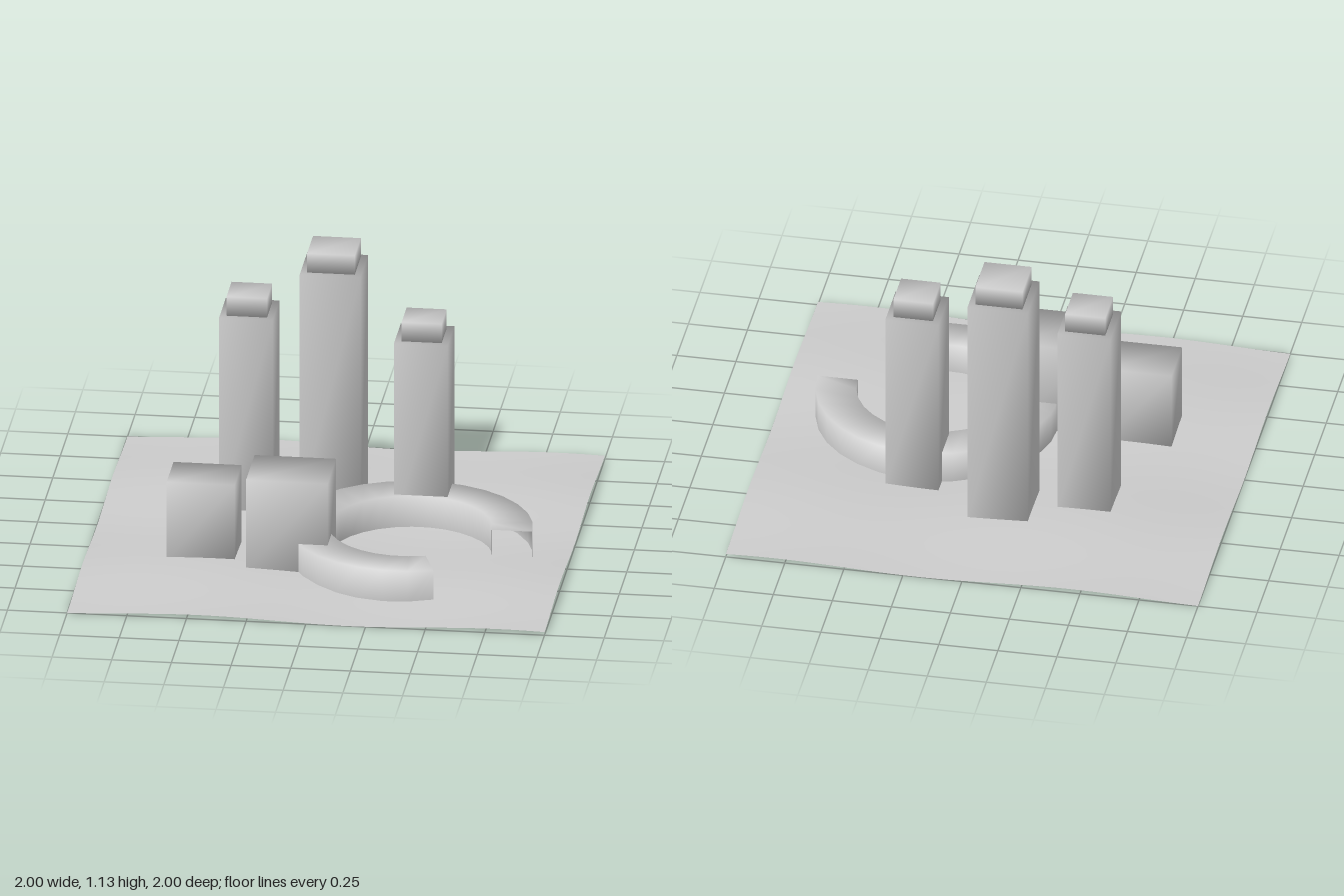
import * as THREE from 'three';
import { mergeVertices } from 'three/addons/utils/BufferGeometryUtils.js';

const BASE = 0.012;

function makeMesh(geometry, name, side = THREE.FrontSide) {
  const mesh = new THREE.Mesh(geometry, new THREE.MeshStandardMaterial({ color: 0xcccccc, side }));
  mesh.name = name;
  return mesh;
}

// Box with shared corners, so its shading runs smoothly over the edges
function softBox(name, x, z, width, depth, bottom, top) {
  let geo = new THREE.BoxGeometry(width, top - bottom, depth);
  geo.deleteAttribute('normal');
  geo.deleteAttribute('uv');
  geo = mergeVertices(geo);
  geo.computeVertexNormals();
  geo.translate(x, (top + bottom) / 2, z);
  return makeMesh(geo, name);
}

// Gently rolling ground sheet
function makeGround() {
  const geo = new THREE.PlaneGeometry(2, 2, 40, 40).rotateX(-Math.PI / 2);
  const p = geo.attributes.position;
  for (let i = 0; i < p.count; i++) {
    const x = p.getX(i), z = p.getZ(i);
    p.setY(i, 0.018 + 0.009 * Math.cos(5 * (x + 0.45)) + 0.009 * Math.cos(6.3 * (z - 0.5)));
  }
  geo.computeVertexNormals();
  return makeMesh(geo, 'ground', THREE.DoubleSide);
}

// Hollow arc: outer wall, roof and inner wall, open at both ends and below
function makeArc() {
  const profile = [[0.51, BASE], [0.51, 0.15], [0.34, 0.15], [0.34, BASE]];
  const steps = 24, start = THREE.MathUtils.degToRad(72);
  const positions = [], index = [];
  for (let i = 0; i <= steps; i++) {
    const a = start + (Math.PI * 2 - start) * i / steps;
    for (const [r, y] of profile) positions.push(0.34 + r * Math.cos(a), y, 0.225 + r * Math.sin(a));
    if (i === steps) break;
    for (let j = 0; j < 3; j++) {
      const k = i * 4 + j;
      index.push(k, k + 1, k + 4, k + 1, k + 5, k + 4);
    }
  }
  const geo = new THREE.BufferGeometry();
  geo.setAttribute('position', new THREE.Float32BufferAttribute(positions, 3));
  geo.setIndex(index);
  geo.computeVertexNormals();
  return makeMesh(geo, 'arcBuilding', THREE.DoubleSide);
}

export function createModel() {
  const model = new THREE.Group();
  model.name = 'cityBlock';
  model.add(makeGround(), makeArc());

  // Towers with a smaller block on the roof: x, z, width, height, roof width
  const towers = [
    ['rightTower', -0.4, -0.29, 0.225, 0.88, 0.17],
    ['middleTower', -0.06, -0.405, 0.255, 1.05, 0.2],
    ['leftTower', 0.34, -0.232, 0.225, 0.825, 0.168],
  ];
  for (const [name, x, z, w, h, roof] of towers) {
    const tower = new THREE.Group();
    tower.name = name;
    tower.add(softBox('shaft', x, z, w, w, BASE, h));
    tower.add(softBox('roofBlock', x, z, roof, roof, h, h + 0.085));
    model.add(tower);
  }

  // Low blocks at the front
  model.add(softBox('smallBlock', -0.517, 0.283, 0.285, 0.228, BASE, 0.365));
  model.add(softBox('largeBlock', -0.145, 0.342, 0.342, 0.285, BASE, 0.425));
  return model;
}
